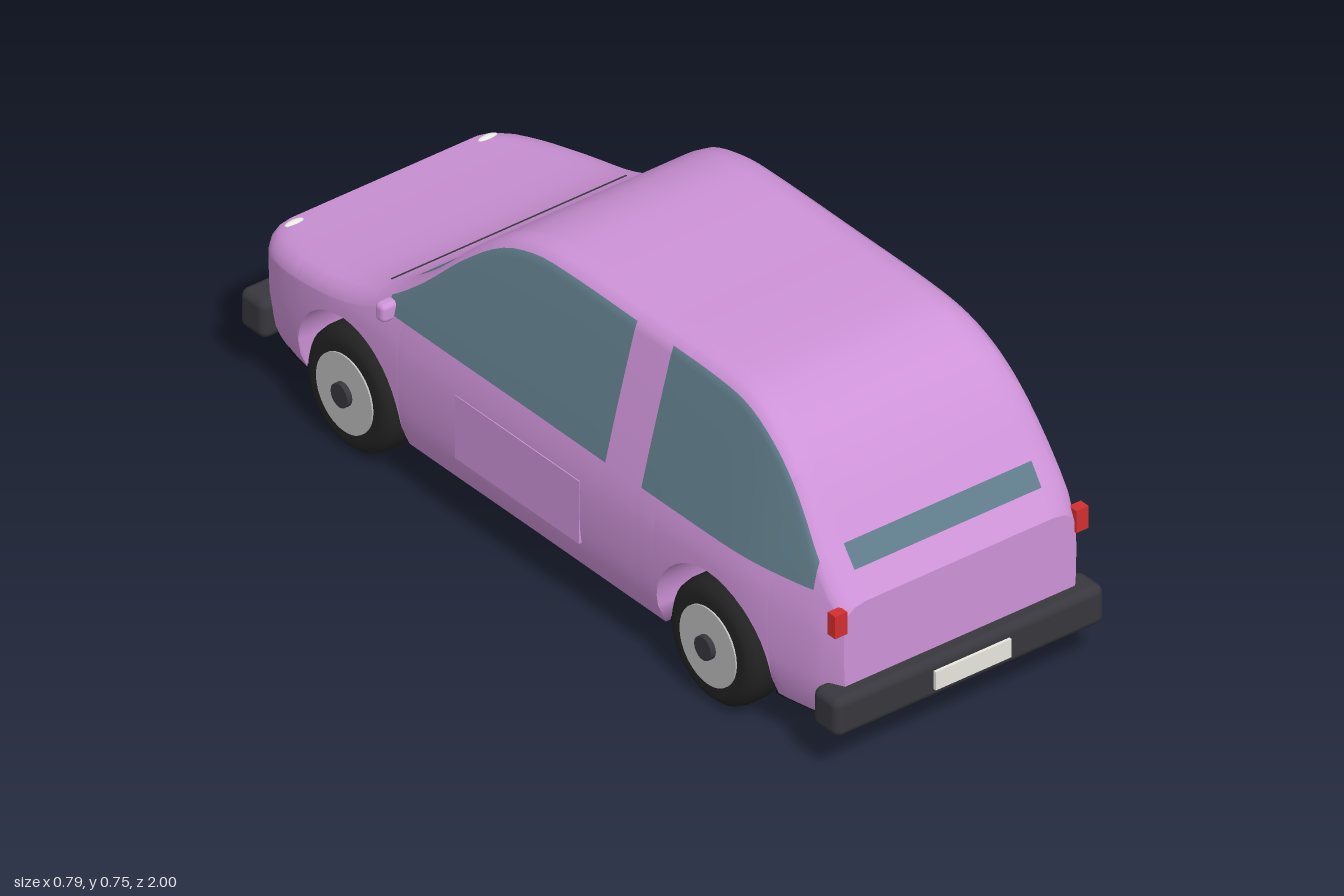
import * as THREE from 'three';
import { RoundedBoxGeometry } from 'three/addons/geometries/RoundedBoxGeometry.js';

const mat = (color, side = THREE.FrontSide) => new THREE.MeshStandardMaterial({ color, side });
const PAINT = mat(0xce93d8), PAINT2 = mat(0xce93d8, THREE.DoubleSide), GLASS = mat(0x607d8b);
const TYRE = mat(0x222222), RIM = mat(0xbbbbbb), DARK = mat(0x37373d), FLOOR = mat(0x111111);
const RED = mat(0xd32f2f), WHITE = mat(0xe8e8e0);

// Smooth interpolation through [t, value] points
function curve(pts) {
  const n = pts.length - 1;
  const slope = i => {
    const a = pts[Math.max(0, i - 1)], b = pts[Math.min(n, i + 1)];
    return (b[1] - a[1]) / (b[0] - a[0]);
  };
  return t => {
    let i = 0;
    while (i < n - 1 && t > pts[i + 1][0]) i++;
    const [x0, y0] = pts[i], [x1, y1] = pts[i + 1], d = x1 - x0;
    const u = Math.min(1, Math.max(0, (t - x0) / d)), v = 1 - u;
    return y0 * v * v * (1 + 2 * u) + y1 * u * u * (3 - 2 * u) + d * u * v * (slope(i) * v - slope(i + 1) * u);
  };
}

// Roofline height, plan half width and side bulge of the body
const END = 0.955, BOTTOM = 0.1, BELT = 0.41;
const top = curve([[-END, 0.345], [-0.75, 0.38], [-0.6, 0.413], [-0.5, 0.455], [-0.4, 0.53], [-0.3, 0.628], [-0.2, 0.703],
  [-0.1, 0.737], [0, 0.745], [0.25, 0.746], [0.5, 0.745], [0.62, 0.73], [0.72, 0.68], [0.8, 0.605], [0.88, 0.493], [END, 0.39]]);
const plan = curve([[-END, 0.3], [-0.92, 0.33], [-0.8, 0.362], [-0.6, 0.377], [0, 0.378], [0.6, 0.377], [0.72, 0.37], [0.85, 0.345], [0.93, 0.32], [END, 0.305]]);
const bulge = curve([[0.1, 0.92], [0.14, 0.97], [0.22, 1], [0.35, 1], [0.42, 0.965], [0.56, 0.87], [0.7, 0.77], [0.75, 0.73]]);

// Wheel arches cut into the lower edge
const ARCH_Y = 0.15, ARCH_R = 0.178, WHEEL_Z = [-0.61, 0.595];
function lowerEdge(z) {
  for (const c of WHEEL_Z) {
    const d = Math.abs(z - c);
    if (d <= ARCH_R) return ARCH_Y + Math.sqrt(Math.max(0, ARCH_R ** 2 - d * d));
  }
  return BOTTOM;
}

// Half cross-section from the lower edge up to the centre line
function halfSection(z) {
  const w = plan(z), h = top(z), r = 0.04, b = lowerEdge(z), belt = Math.min(BELT, h - r - 0.01);
  const pts = [];
  const side = y => pts.push([w * bulge(y), y]);
  for (let k = 0; k <= 6; k++) side(b + (belt - b) * k / 6);
  for (let k = 1; k <= 3; k++) side(belt + (h - r - belt) * k / 3);
  const x = w * bulge(h - r);
  for (let k = 1; k <= 3; k++) {
    const a = k * Math.PI / 6;
    pts.push([x - 0.055 * (1 - Math.cos(a)), h - r + r * Math.sin(a)]);
  }
  pts.push([(x - 0.055) * 0.94, h], [0, h]);
  return pts;
}
function ring(z) {
  const half = halfSection(z);
  return [...half.map(([x, y]) => [-x, y]), ...half.slice(0, -1).reverse()];
}

// Stations along the car, denser over the arches
function stations() {
  const zs = [-END, END, -0.48, -0.31, 0.24, 0.36, 0.88, 0.915];
  for (const c of WHEEL_Z) {
    zs.push(c - ARCH_R - 1e-4, c + ARCH_R + 1e-4);
    for (let k = 0; k <= 20; k++) zs.push(c - ARCH_R * Math.cos(k * Math.PI / 20));
  }
  for (let z = -0.94; z < 0.95; z += 0.03) {
    if (zs.every(q => Math.abs(q - z) > 0.008)) zs.push(z);
  }
  return zs.sort((a, b) => a - b);
}

function buildBody(group, add) {
  const zs = stations(), rings = zs.map(ring), n = rings[0].length;
  const pos = rings.flatMap((r, i) => r.flatMap(([x, y]) => [x, y, zs[i]]));
  const paint = [], sideGlass = [], endGlass = [];
  const within = (z, a, b) => z > a && z < b;
  for (let i = 0; i < zs.length - 1; i++) {
    const z = (zs[i] + zs[i + 1]) / 2;
    for (let j = 0; j < n - 1; j++) {
      const h = Math.min(j, n - 2 - j);
      let list = paint;
      if (h >= 6 && h <= 9 && (within(z, -0.48, 0.24) || within(z, 0.36, 0.88))) list = sideGlass;
      if (h === 13 && (within(z, -0.48, -0.31) || within(z, 0.88, 0.915))) list = endGlass;
      const a = i * n + j, b = a + n;
      list.push(a, b, a + 1, b, b + 1, a + 1);
    }
  }
  // Body and windows share one smooth skin
  const skin = new THREE.BufferGeometry();
  skin.setAttribute('position', new THREE.Float32BufferAttribute(pos, 3));
  skin.setIndex([...paint, ...sideGlass, ...endGlass]);
  skin.computeVertexNormals();
  const part = index => {
    const g = new THREE.BufferGeometry();
    g.setAttribute('position', skin.attributes.position);
    g.setAttribute('normal', skin.attributes.normal);
    return g.setIndex(index);
  };
  add('bodyShell', part(paint), PAINT);
  add('sideWindows', part(sideGlass), GLASS);
  add('windscreenAndRearWindow', part(endGlass), GLASS);

  // Flat nose and tail
  for (const s of [-1, 1]) {
    const shape = new THREE.Shape(ring(s * END).map(([x, y]) => new THREE.Vector2(x, y)));
    const cap = add(s < 0 ? 'nosePanel' : 'tailPanel', new THREE.ShapeGeometry(shape), PAINT, 0, 0, s * END);
    if (s < 0) cap.rotation.y = Math.PI;
  }

  // Underbody sheet that also lines the wheel arches
  const under = [], idx = [];
  rings.forEach((r, i) => {
    under.push(r[0][0], r[0][1], zs[i], -r[0][0], r[0][1], zs[i]);
    if (i) idx.push(2 * i - 2, 2 * i - 1, 2 * i, 2 * i - 1, 2 * i + 1, 2 * i);
  });
  const liner = new THREE.BufferGeometry();
  liner.setAttribute('position', new THREE.Float32BufferAttribute(under, 3));
  liner.setIndex(idx);
  liner.computeVertexNormals();
  add('archLiners', liner, PAINT2);
}

// Floor plate notched around the wheels
function floorGeometry() {
  const half = [[0.275, -0.95], [0.325, -0.86]];
  for (const c of WHEEL_Z) {
    half.push([0.335, c - 0.17], [0.24, c - 0.17], [0.24, c + 0.17], [0.335, c + 0.17]);
  }
  half.push([0.315, 0.86], [0.275, 0.95]);
  const outline = [...half, ...half.map(([x, z]) => [-x, z]).reverse()];
  const shape = new THREE.Shape(outline.map(([x, z]) => new THREE.Vector2(x, z)));
  return new THREE.ExtrudeGeometry(shape, { depth: 0.01, bevelEnabled: false }).rotateX(Math.PI / 2);
}

function buildWheel(side, z) {
  const wheel = new THREE.Group();
  wheel.name = (z < 0 ? 'front' : 'rear') + (side > 0 ? 'Left' : 'Right') + 'Wheel';
  const profile = [[0, -0.052], [0.11, -0.052], [0.128, -0.048], [0.14, -0.035], [0.144, -0.015],
    [0.144, 0.015], [0.14, 0.035], [0.128, 0.048], [0.11, 0.052], [0, 0.052]];
  const spin = (name, geo, m, y) => {
    const mesh = new THREE.Mesh(geo, m);
    mesh.name = name;
    mesh.position.y = y;
    wheel.add(mesh);
  };
  spin('tyre', new THREE.LatheGeometry(profile.map(p => new THREE.Vector2(...p)), 40), TYRE, 0);
  spin('rim', new THREE.CylinderGeometry(0.093, 0.093, 0.02, 32), RIM, 0.046);
  spin('hubCap', new THREE.CylinderGeometry(0.028, 0.028, 0.03, 20), DARK, 0.054);
  wheel.rotation.z = -side * Math.PI / 2;
  wheel.position.set(side * 0.324, 0.144, z);
  return wheel;
}

export function createModel() {
  const car = new THREE.Group();
  car.name = 'car';
  const add = (name, geo, m, x = 0, y = 0, z = 0) => {
    const mesh = new THREE.Mesh(geo, m);
    mesh.name = name;
    mesh.position.set(x, y, z);
    car.add(mesh);
    return mesh;
  };
  buildBody(car, add);
  add('floor', floorGeometry(), FLOOR, 0, 0.107, 0);

  // Bumpers with plates at both ends
  for (const s of [-1, 1]) {
    const end = s < 0 ? 'front' : 'rear';
    add(end + 'Bumper', new RoundedBoxGeometry(0.71, 0.095, 0.085, 4, 0.02), DARK, 0, 0.152, s * 0.95);
    add(end + 'Plate', new THREE.BoxGeometry(0.2, 0.045, 0.012), WHITE, 0, 0.152, s * 0.994);
  }

  // Paired parts on the left and right
  for (const s of [-1, 1]) {
    const tag = s > 0 ? 'left' : 'right';
    for (const z of WHEEL_Z) car.add(buildWheel(s, z));
    add(tag + 'TailLight', new THREE.BoxGeometry(0.032, 0.055, 0.025), RED, s * 0.318, 0.36, 0.948);
    add(tag + 'Headlight', new THREE.SphereGeometry(1, 16, 10), WHITE, s * 0.255, top(-0.932), -0.932).scale.set(0.025, 0.006, 0.009);
    add(tag + 'Mirror', new RoundedBoxGeometry(0.045, 0.045, 0.032, 4, 0.012), PAINT, s * 0.374, 0.42, -0.475);
    add(tag + 'DoorPanel', new THREE.BoxGeometry(0.008, 0.155, 0.41), PAINT, s * 0.377, 0.255, -0.035);
  }

  // Seam at the back of the bonnet
  add('bonnetSeam', new THREE.BoxGeometry(0.62, 0.004, 0.004), DARK, 0, top(-0.54), -0.54);
  return car;
}
